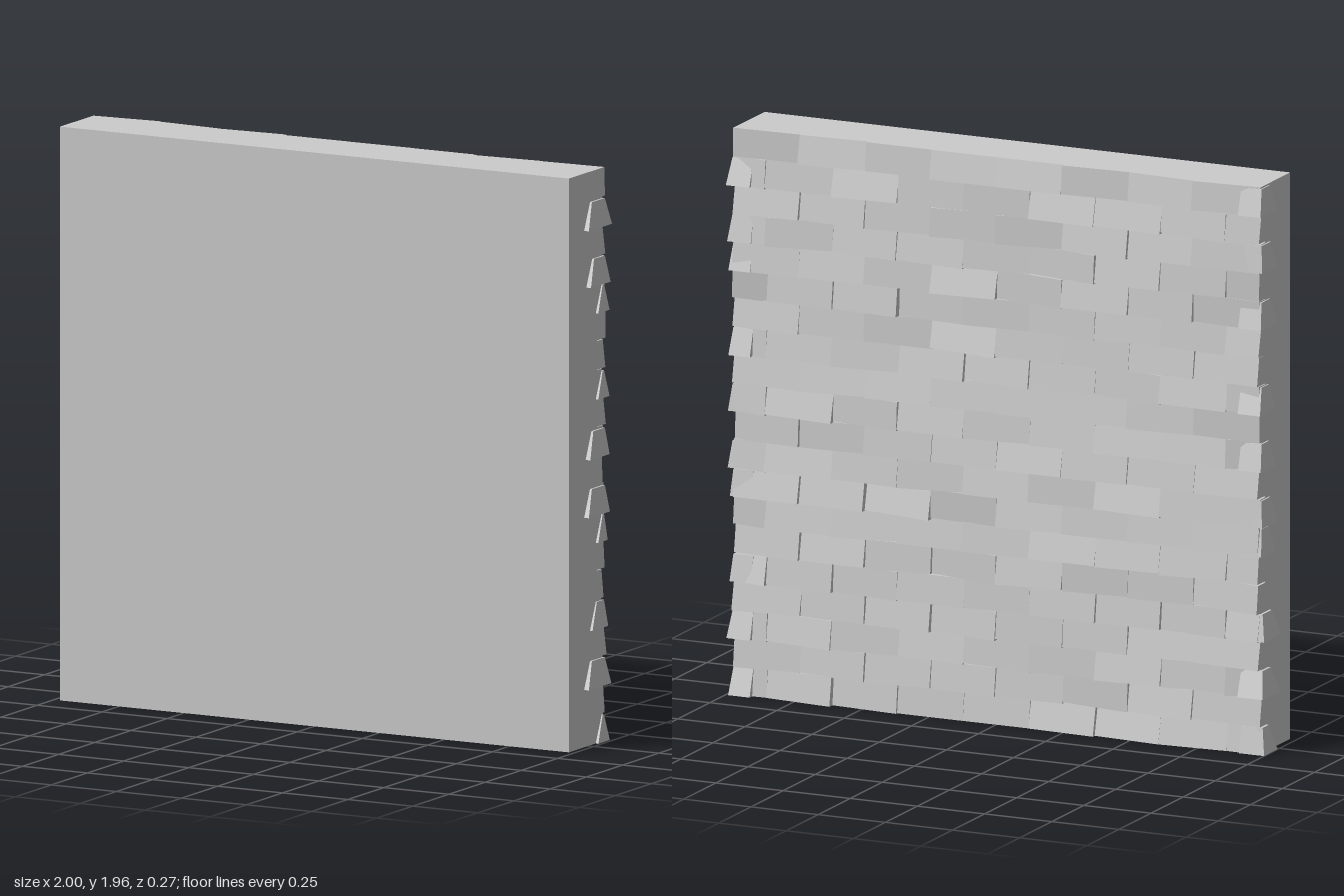
import * as THREE from 'three';

const ROWS = 20, PITCH = 0.098, WIDTH = 0.2445;
const LEFT = 0.98, RIGHT = -0.976, BACK = -0.06;
const material = new THREE.MeshStandardMaterial({ color: 0xcccccc, flatShading: true });

// small seeded generator
let seed = 11;
function rand(a, b) {
  seed = (seed * 1664525 + 1013904223) % 4294967296;
  return a + (b - a) * seed / 4294967296;
}

// six-sided stone: place(sx, sy, sz) returns the corner for each sign triple
function stone(name, place) {
  const geo = new THREE.BoxGeometry(2, 2, 2);
  const pos = geo.attributes.position;
  for (let i = 0; i < pos.count; i++) {
    pos.setXYZ(i, ...place(Math.sign(pos.getX(i)), Math.sign(pos.getY(i)), Math.sign(pos.getZ(i))));
  }
  geo.computeVertexNormals();
  const mesh = new THREE.Mesh(geo, material);
  mesh.name = name;
  return mesh;
}

// shingle with a lower edge that juts out, slightly turned and rolled
function shingle(x0, x1, y, edge) {
  const top = rand(0.094, 0.106), low = rand(0.107, 0.122);
  const turn = rand(-0.011, 0.011), roll = edge ? 0 : rand(-0.004, 0.004);
  return stone('shingle', (sx, sy, sz) => [
    sx < 0 ? x0 : x1,
    y + (sy > 0 ? PITCH : 0) + sx * roll,
    sz > 0 ? BACK + 0.01 : -((sy > 0 ? top : low) + sx * turn),
  ]);
}

// corner stone folded round the side of the slab; reach is its front limit in z
function cornerStone(side, row, reach, out) {
  const y = row * PITCH, face = side > 0 ? LEFT : -RIGHT;
  const back = rand(0.112, 0.132);
  return stone('cornerStone', (sx, sy, sz) => {
    const outer = sx === side;
    const x = outer ? face + (sy > 0 ? out * 0.4 : out) : face - 0.07;
    const z = sz > 0 ? reach - (sy > 0 ? 0.04 : 0) : -(sy > 0 ? 0.1 : back);
    return [side * x, y + (sy > 0 ? 0.092 : 0), z];
  });
}

export function createModel() {
  const model = new THREE.Group();
  model.name = 'shingledWall';

  // plain slab
  const depth = 0.135 - BACK;
  const slab = new THREE.Mesh(new THREE.BoxGeometry(LEFT - RIGHT, ROWS * PITCH, depth), material);
  slab.name = 'slab';
  slab.position.set((LEFT + RIGHT) / 2, ROWS * PITCH / 2, BACK + depth / 2);
  model.add(slab);

  // staggered courses on the back
  const courses = new THREE.Group();
  courses.name = 'shingleCourses';
  for (let row = 0; row < ROWS; row++) {
    const start = RIGHT - (row % 2 ? 0 : WIDTH / 2);
    for (let i = 0; i < 9; i++) {
      const x0 = Math.max(RIGHT, start + i * WIDTH);
      const x1 = Math.min(LEFT, start + (i + 1) * WIDTH);
      if (x1 - x0 > 0.02) courses.add(shingle(x0, x1, row * PITCH, row === 0 || row === ROWS - 1));
    }
  }
  model.add(courses);

  // corner stones on both sides
  const corners = new THREE.Group();
  corners.name = 'cornerStones';
  const leftReach = { 0: -0.05, 2: 0.03, 4: -0.01, 7: -0.05, 8: 0.03, 10: 0.02, 12: -0.05, 15: -0.05, 16: 0.015, 18: 0.03 };
  for (const row in leftReach) corners.add(cornerStone(1, +row, leftReach[row], leftReach[row] > 0 ? 0.018 : 0.01));
  for (const row of [0, 2, 4, 7, 8, 10, 12, 15, 17, 19]) {
    corners.add(cornerStone(-1, row, rand(-0.02, 0.015), row < 5 ? 0.024 : 0.014));
  }
  model.add(corners);
  return model;
}
